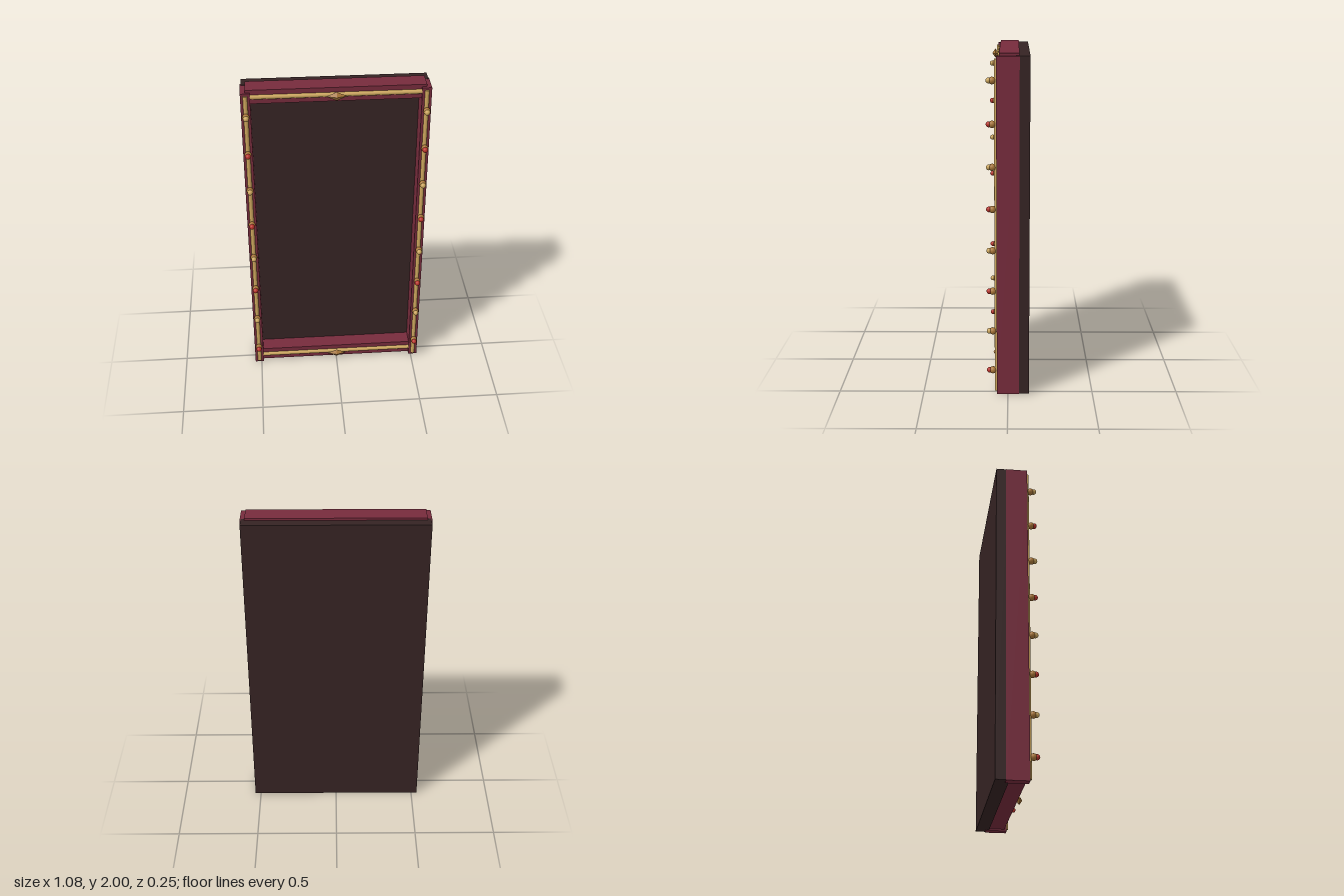
import * as THREE from 'three';

const flat = (name, color) => {
  const m = new THREE.MeshStandardMaterial({ color });
  m.name = name;
  return m;
};

export function createModel() {
  const maroon = flat('maroon', 0x762b3c);
  const darkWood = flat('darkWood', 0x352323);
  const gold = flat('gold', 0xcba55c);
  const bronze = flat('bronze', 0xa87638);
  const red = flat('red', 0xb8322a);

  const model = new THREE.Group();
  model.name = 'ornateFrame';

  const add = (name, geometry, material, x, y, z) => {
    const mesh = new THREE.Mesh(geometry, material);
    mesh.name = name;
    mesh.position.set(x, y, z);
    model.add(mesh);
    return mesh;
  };

  // Backing panel
  add('backPanel', new THREE.BoxGeometry(1.072, 1.983, 0.079), darkWood, 0, 0.9955, -0.0845);

  // Top and bottom rails, each with a gold rod and a diamond boss
  const railGeo = new THREE.BoxGeometry(1.028, 0.085, 0.114);
  const railRodGeo = new THREE.CylinderGeometry(0.0135, 0.0135, 0.99, 12);
  const bossGeo = new THREE.OctahedronGeometry(1);
  bossGeo.scale(0.059, 0.027, 0.0185);
  for (const [side, y] of [['top', 1.9575], ['bottom', 0.0525]]) {
    add(side + 'Rail', railGeo, maroon, 0, y, -0.007);
    add(side + 'RailRod', railRodGeo, gold, 0, y, 0.051).rotation.z = Math.PI / 2;
    add(side + 'Diamond', bossGeo, bronze, 0, y, 0.0775);
  }

  // Side posts with gold rods and alternating gold and red studs
  const postGeo = new THREE.BoxGeometry(0.055, 1.985, 0.13);
  const postRodGeo = new THREE.CylinderGeometry(0.0125, 0.0125, 1.955, 12);
  const studGeo = new THREE.SphereGeometry(0.021, 16, 12);
  const tipGeo = new THREE.SphereGeometry(0.0165, 16, 12);
  for (const [side, s] of [['left', 1], ['right', -1]]) {
    add(side + 'Post', postGeo, maroon, s * 0.5135, 0.9925, 0);
    add(side + 'PostRod', postRodGeo, gold, s * 0.5135, 0.9925, 0.065);
    for (let i = 0; i < 8; i++) {
      const y = 1.85 - i * 0.2438;
      add(side + 'StudBase', studGeo, bronze, s * 0.5135, y, 0.088);
      add(side + 'StudTip', tipGeo, i % 2 ? red : gold, s * 0.5135, y, 0.1075);
    }
  }
  return model;
}
